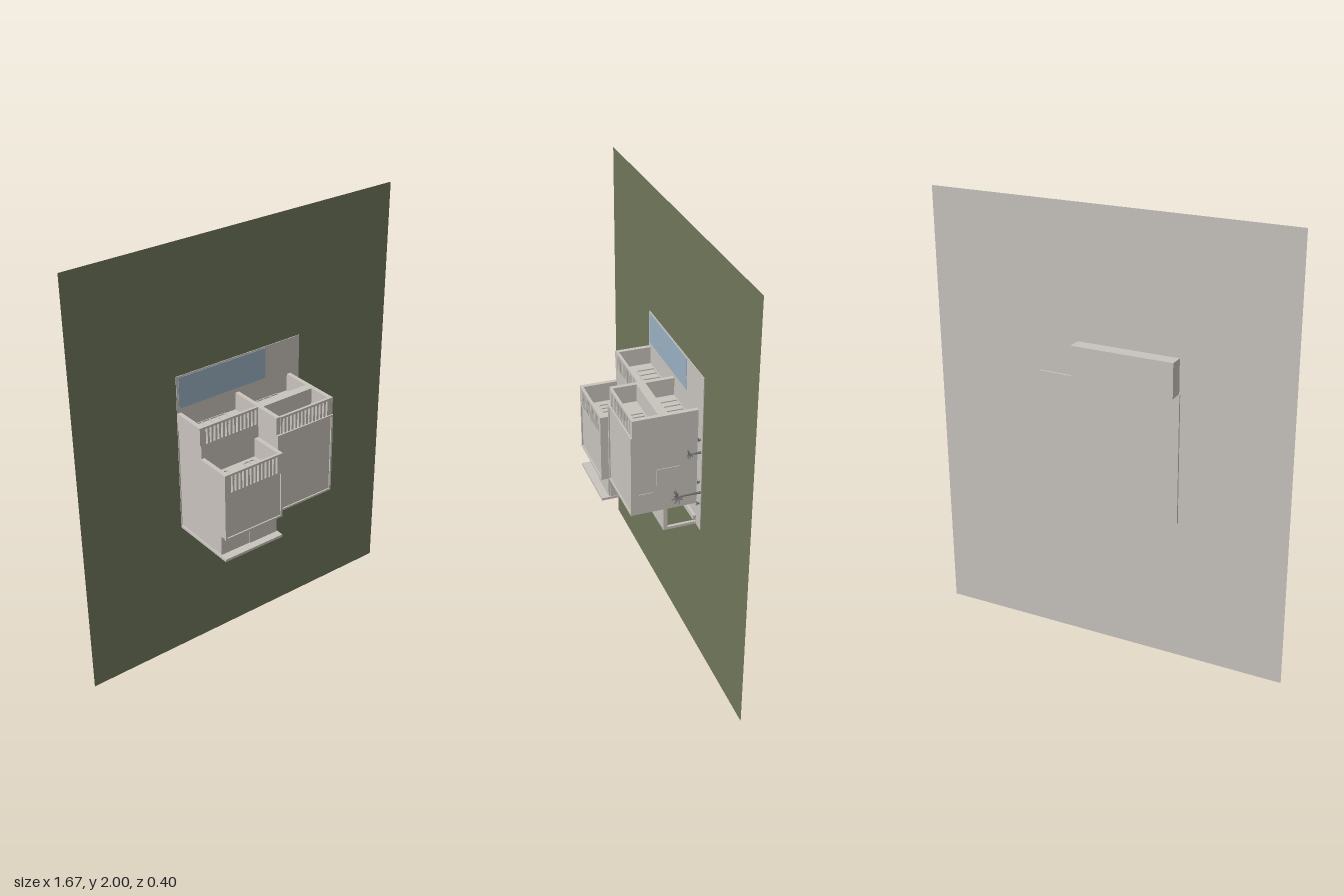
import * as THREE from 'three';

export function createModel() {
  const model = new THREE.Group();
  const mat = (name, color) => {
    const m = new THREE.MeshStandardMaterial({ color });
    m.name = name;
    return m;
  };
  const stone = mat('pale plaster', 0xc8c3bd);
  const grass = mat('grass green', 0x70765a);
  const water = mat('water blue', 0x9ab0c2);
  const leaf = mat('plant grey', 0x707070);

  // Box given by its limits along each axis
  function box(name, x0, x1, y0, y1, z0, z1, material = stone, parent = model) {
    const m = new THREE.Mesh(new THREE.BoxGeometry(x1 - x0, y1 - y0, z1 - z0), material);
    m.position.set((x0 + x1) / 2, (y0 + y1) / 2, (z0 + z1) / 2);
    m.name = name;
    parent.add(m);
    return m;
  }
  const group = (name) => {
    const g = new THREE.Group();
    g.name = name;
    model.add(g);
    return g;
  };

  // Upright ground sheet: lawn on the front, plain on the back
  const G = -0.135;
  const lawn = new THREE.Mesh(new THREE.PlaneGeometry(1.67, 2), grass);
  lawn.position.set(0, 1, G);
  lawn.name = 'lawn';
  const underside = new THREE.Mesh(new THREE.PlaneGeometry(1.67, 2), stone);
  underside.rotation.y = Math.PI;
  underside.position.set(0, 1, G - 0.001);
  underside.name = 'lawnUnderside';
  model.add(lawn, underside);

  // Paving and sunken pool
  box('terraceSlab', -0.335, 0.325, 0.66, 1.25, -0.145, -0.132);
  box('poolPaving', -0.335, 0.325, 1.25, 1.41, G, -0.132);
  box('poolBasin', -0.33, 0.14, 1.252, 1.408, -0.2, -0.136);
  box('poolWater', -0.325, 0.135, 1.258, 1.403, -0.133, -0.13, water);

  // Row of slats between two rails, shading a balcony
  function pergola(name, x0, x1, y0, y1, z) {
    const g = group(name);
    box('rail', x0, x1, y1 - 0.01, y1, z - 0.012, z, stone, g);
    const n = Math.round((x1 - x0) / 0.021);
    for (let i = 0; i <= n; i++) {
      const x = x0 + ((x1 - x0 - 0.01) * i) / n;
      box('slat', x, x + 0.01, y0, y1 - 0.01, z - 0.012, z, stone, g);
    }
  }

  // Raised rim around a roof
  function rim(name, x0, x1, y0, y1, z) {
    const g = group(name), t = 0.009, h = 0.006;
    box('rimSide', x0, x0 + t, y0, y1, z, z + h, stone, g);
    box('rimSide', x1 - t, x1, y0, y1, z, z + h, stone, g);
    box('rimEnd', x0 + t, x1 - t, y0, y0 + t, z, z + h, stone, g);
    box('rimEnd', x0 + t, x1 - t, y1 - t, y1, z, z + h, stone, g);
  }

  // Thin frame on a wall facing +y
  function windowY(x0, x1, z0, z1, y, bars = 1) {
    const g = group('window'), t = 0.004, d = 0.005;
    box('sill', x0, x1, y, y + d, z0, z0 + t, stone, g);
    box('head', x0, x1, y, y + d, z1 - t, z1, stone, g);
    for (let i = 0; i <= bars + 1; i++) {
      const x = x0 + ((x1 - x0 - t) * i) / (bars + 1);
      box('mullion', x, x + t, y, y + d, z0 + t, z1 - t, stone, g);
    }
  }

  // Lower storey, left side
  box('lowerLeftBlock', -0.33, -0.03, 0.77, 1.155, -0.132, 0.03);
  box('lowerLeftFin', -0.335, -0.315, 1.155, 1.237, -0.132, 0.03);
  box('middleFin', -0.03, -0.01, 1.155, 1.237, -0.132, 0.155);
  pergola('lowerPergola', -0.315, -0.03, 1.155, 1.237, 0.03);
  windowY(-0.26, -0.09, -0.13, -0.045, 1.155, 3);

  // Upper storey, left side
  box('upperLeftBlock', -0.332, -0.03, 0.77, 1.0, 0.03, 0.194);
  box('upperLeftFin', -0.335, -0.315, 1.0, 1.09, 0.03, 0.2);
  box('upperRightFin', -0.05, -0.03, 1.0, 1.09, 0.03, 0.2);
  pergola('upperLeftPergola', -0.315, -0.05, 1.0, 1.09, 0.2);
  rim('leftRoofRim', -0.335, -0.03, 0.768, 1.0, 0.194);
  windowY(-0.28, -0.215, 0.05, 0.13, 1.0);
  windowY(-0.13, -0.07, 0.05, 0.13, 1.0);

  // Right side, both storeys
  box('rightBlock', -0.03, 0.275, 0.77, 1.155, -0.132, 0.159);
  box('rightFin', 0.257, 0.277, 1.155, 1.237, -0.132, 0.159);
  box('balconyFloor', -0.01, 0.257, 1.155, 1.237, 0, 0.04);
  pergola('rightPergola', -0.01, 0.257, 1.155, 1.237, 0.159);
  rim('rightRoofRim', -0.03, 0.277, 0.768, 1.155, 0.159);
  windowY(0.04, 0.2, -0.13, -0.045, 1.155, 3);
  windowY(0.095, 0.15, 0.045, 0.125, 1.155);

  // Frames on the right-hand wall
  for (const [y0, y1, z0, z1] of [[0.9, 0.98, -0.05, 0.05], [0.82, 0.87, 0.07, 0.13]]) {
    box('sideWindow', 0.275, 0.278, y0, y1, z0, z1);
  }

  // Entrance at the lower left
  box('entranceBlock', -0.33, -0.03, 0.672, 0.77, -0.132, 0.16);
  box('entranceRoofPanel', -0.18, -0.035, 0.674, 0.768, 0.16, 0.166);
  box('entranceCanopy', -0.337, -0.028, 0.66, 0.672, -0.132, 0.2);

  // Open porch at the lower right
  box('porchRoof', -0.03, 0.275, 0.66, 0.77, 0, 0.018);
  box('porchPost', 0.262, 0.275, 0.66, 0.673, -0.132, 0);
  box('porchStep', -0.03, 0.275, 0.68, 0.705, -0.132, -0.12);

  // Spiky plants growing out of the paving
  function plant(x, y, height, spread) {
    const g = group('plant');
    const trunk = new THREE.Mesh(new THREE.CylinderGeometry(0.003, 0.006, height, 6), leaf);
    trunk.rotation.x = Math.PI / 2;
    trunk.position.z = height / 2;
    trunk.name = 'trunk';
    g.add(trunk);
    for (let i = 0; i < 11; i++) {
      const a = i * 2.4, up = ((i % 4) - 1) * 0.5;
      const dir = new THREE.Vector3(Math.cos(a), Math.sin(a), up).normalize();
      const blade = new THREE.Mesh(new THREE.ConeGeometry(spread * 0.17, spread, 4), leaf);
      blade.quaternion.setFromUnitVectors(new THREE.Vector3(0, 1, 0), dir);
      blade.position.copy(dir).multiplyScalar(spread / 2);
      blade.position.z += height;
      blade.name = 'leafBlade';
      g.add(blade);
    }
    g.position.set(x, y, -0.132);
  }
  plant(0.322, 0.855, 0.105, 0.037);
  plant(0.312, 1.05, 0.05, 0.024);
  for (const y of [0.79, 0.9, 1.11]) plant(0.308, y, 0.008, 0.012);

  return model;
}
